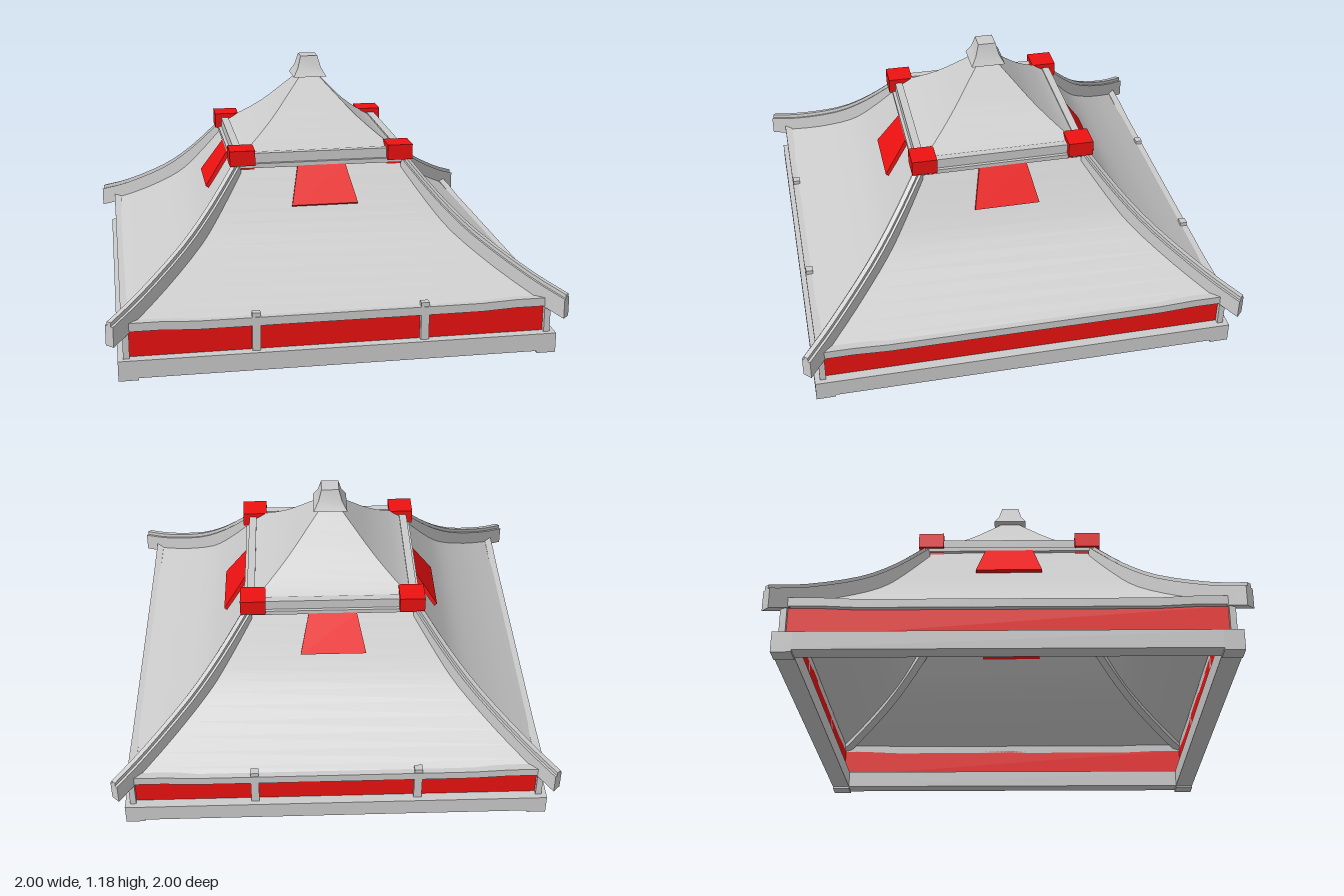
import * as THREE from 'three';
import { toCreasedNormals } from 'three/addons/utils/BufferGeometryUtils.js';

const grey = new THREE.MeshStandardMaterial({ color: 0xcccccc, side: THREE.DoubleSide });
const red = new THREE.MeshStandardMaterial({ color: 0xee1111, side: THREE.DoubleSide });

export function createModel() {
  const model = new THREE.Group();

  function add(name, geometry, material = grey, parent = model) {
    const mesh = new THREE.Mesh(geometry, material);
    mesh.name = name;
    parent.add(mesh);
    return mesh;
  }

  function box(name, x0, x1, y0, y1, z0, z1, material, parent) {
    const mesh = add(name, new THREE.BoxGeometry(x1 - x0, y1 - y0, z1 - z0), material, parent);
    mesh.position.set((x0 + x1) / 2, (y0 + y1) / 2, (z0 + z1) / 2);
    return mesh;
  }

  // Square pyramid-like shell from [half width, height] pairs, bottom to top
  function squareShell(name, profile) {
    const points = profile.map(([h, y]) => new THREE.Vector2(h * Math.SQRT2, y));
    const geometry = new THREE.LatheGeometry(points, 4).rotateY(Math.PI / 4);
    return add(name, toCreasedNormals(geometry, 0.5));
  }

  // Smooth version of a short profile
  function curve(profile, n) {
    return new THREE.SplineCurve(profile.map(p => new THREE.Vector2(...p)))
      .getPoints(n).map(p => [p.x, p.y]);
  }

  // Roofs and finial
  squareShell('lowerRoof', curve([[0.92, 0.235], [0.76, 0.335], [0.6, 0.46], [0.5, 0.58], [0.385, 0.745]], 12));
  squareShell('upperRoof', curve([[0.37, 0.795], [0.31, 0.83], [0.2, 0.92], [0.1, 1.025], [0.04, 1.09]], 10));
  squareShell('finial', [[0, 1.085], [0.078, 1.085], [0.055, 1.125], [0.04, 1.18], [0, 1.18]]);

  // Hip ridge: side profile of the given thickness, [distance along x, height of top]
  const ridgeLine = curve([[0.984, 0.275], [0.85, 0.345], [0.66, 0.475], [0.52, 0.61], [0.385, 0.775]], 12);
  function ridge(name, width, top, bottom, parent) {
    const upper = ridgeLine.map(([x, y]) => new THREE.Vector2(x * Math.SQRT2, y + top));
    const lower = ridgeLine.map(([x, y]) => new THREE.Vector2(x * Math.SQRT2, y + bottom)).reverse();
    const geometry = new THREE.ExtrudeGeometry(new THREE.Shape([...upper, ...lower]),
      { depth: width, bevelEnabled: false });
    geometry.translate(0, 0, -width / 2).rotateY(-Math.PI / 4);
    add(name, toCreasedNormals(geometry, 0.5), grey, parent);
  }

  // Red plaque leaning on the lower roof
  const plaqueLength = Math.hypot(0.105, 0.155);
  const plaque = new THREE.ExtrudeGeometry(new THREE.Shape([
    new THREE.Vector2(-0.15, 0), new THREE.Vector2(0.15, 0),
    new THREE.Vector2(0.11, plaqueLength), new THREE.Vector2(-0.11, plaqueLength),
  ]), { depth: 0.024, bevelEnabled: false });
  plaque.translate(0, 0, -0.018).rotateX(-Math.atan2(0.105, 0.155)).translate(0, 0.59, 0.505);

  // Eave beam whose ends lift slightly
  const eave = new THREE.BoxGeometry(1.86, 0.038, 0.035, 12, 1, 1);
  const pos = eave.attributes.position;
  for (let i = 0; i < pos.count; i++) {
    const lift = THREE.MathUtils.smoothstep(Math.abs(pos.getX(i)), 0.6, 0.78);
    pos.setY(i, pos.getY(i) + 0.224 + 0.008 * lift);
  }
  eave.translate(0, 0, 0.9175);

  // Four identical sides, each with the corner at its left end
  for (let i = 0; i < 4; i++) {
    const side = new THREE.Group();
    side.name = 'side' + (i + 1);
    side.rotation.y = i * Math.PI / 2;
    model.add(side);

    box('baseBeam', -0.955, 0.955, 0.01, 0.09, 0.87, 0.955, grey, side);
    box('cornerFoot', 0.87, 0.955, 0, 0.012, 0.87, 0.955, grey, side);
    box('wallPanel', -0.908, 0.908, 0.08, 0.215, 0.9, 0.91, red, side);
    box('cornerPost', 0.905, 0.932, 0.08, 0.215, 0.905, 0.932, grey, side);
    add('eaveBeam', eave, grey, side);
    add('plaque', plaque, red, side);

    box('upperBeam', -0.39, 0.39, 0.745, 0.81, 0.355, 0.39, grey, side);
    box('upperBeamLedge', -0.4, 0.4, 0.745, 0.765, 0.385, 0.405, grey, side);
    box('cornerCap', 0.305, 0.42, 0.76, 0.83, 0.305, 0.42, red, side);
    box('cornerCapLeg', 0.305, 0.392, 0.68, 0.765, 0.305, 0.392, red, side);

    ridge('hipRidge', 0.045, -0.01, -0.1, side);
    ridge('hipRidgeCap', 0.022, 0.008, -0.012, side);

    // Intermediate posts on front and back only
    if (i % 2 === 0) {
      for (const x of [-0.367, 0.367]) {
        box('wallPost', x - 0.018, x + 0.018, 0.08, 0.262, 0.9, 0.932, grey, side);
      }
    }
  }
  return model;
}
